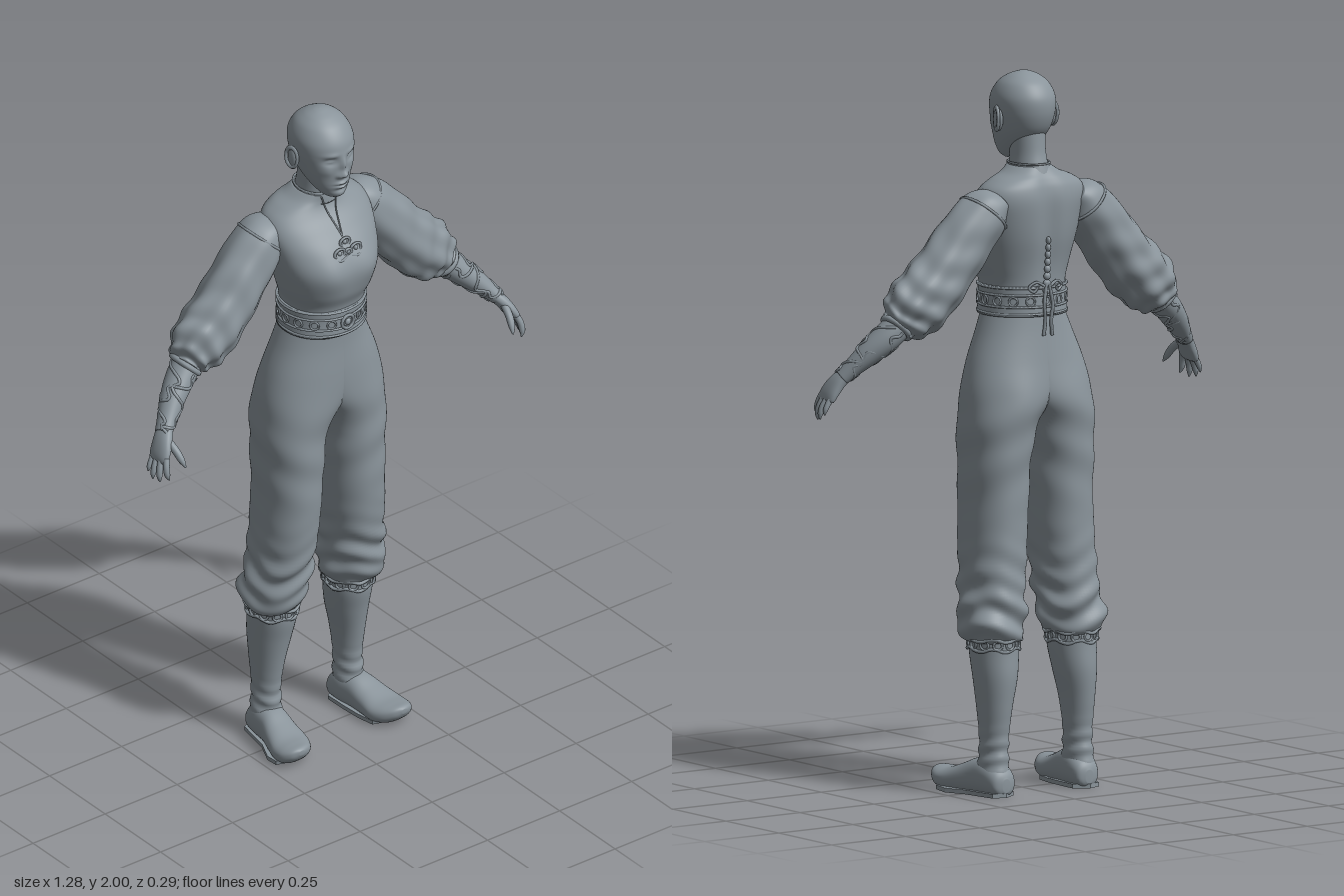
import * as THREE from 'three';

const grey = new THREE.MeshStandardMaterial({ color: 0x8a949b });
grey.name = 'clay grey';
const V = (x, y, z) => new THREE.Vector3(x, y, z);
const TAU = Math.PI * 2;
const UP = V(0, 1, 0), DOWN = V(0, -1, 0), FRONT = V(0, 0, 1);
const gauss = (x, y, cx, cy, sx, sy) => Math.exp(-(((x - cx) / sx) ** 2) - ((y - cy) / sy) ** 2);

// Smooth interpolation through section rows
function sample(rows, t) {
  const n = rows.length - 1, i = Math.min(Math.floor(t * n), n - 1), f = t * n - i;
  const [p, q, r, s] = [rows[Math.max(i - 1, 0)], rows[i], rows[i + 1], rows[Math.min(i + 2, n)]];
  return q.map((_, k) => q[k] + 0.5 * f * (r[k] - p[k] +
    f * (2 * p[k] - 5 * q[k] + 4 * r[k] - s[k] + f * (3 * (q[k] - r[k]) + s[k] - p[k]))));
}

// Skin over sections [x, y, z, halfU, halfV]; axis fixes the ring plane
function loft(rows, { seg = 40, steps = 40, axis, ref = FRONT, pow = 2, bump, after } = {}) {
  const pos = [], idx = [];
  const at = t => V(...sample(rows, t).slice(0, 3));
  for (let i = 0; i <= steps; i++) {
    const t = i / steps, s = sample(rows, t), c = V(s[0], s[1], s[2]);
    const dir = axis ? axis.clone() : at(Math.min(t + 0.01, 1)).sub(at(Math.max(t - 0.01, 0))).normalize();
    const v = ref.clone().addScaledVector(dir, -ref.dot(dir)).normalize();
    const u = v.clone().cross(dir);
    for (let j = 0; j < seg; j++) {
      const a = j / seg * TAU, e = 2 / pow, cs = Math.cos(a), sn = Math.sin(a);
      const p = c.clone()
        .addScaledVector(u, Math.max(s[3], 0.001) * Math.sign(cs) * Math.abs(cs) ** e)
        .addScaledVector(v, Math.max(s[4], 0.001) * Math.sign(sn) * Math.abs(sn) ** e);
      if (bump) bump(p, p.clone().sub(c).normalize(), a, t);
      pos.push(p.x, p.y, p.z);
      if (i < steps) {
        const k = (j + 1) % seg, A = i * seg;
        idx.push(A + j, A + k, A + seg + k, A + j, A + seg + k, A + seg + j);
      }
    }
  }
  const base = pos.length / 3, last = steps * seg;
  pos.push(...at(0).toArray(), ...at(1).toArray());
  for (let j = 0; j < seg; j++) {
    const k = (j + 1) % seg;
    idx.push(base, k, j, base + 1, last + j, last + k);
  }
  const g = new THREE.BufferGeometry();
  g.setAttribute('position', new THREE.Float32BufferAttribute(pos, 3));
  g.setIndex(idx);
  g.computeVertexNormals();
  if (after) after(g.attributes.position);
  return g;
}
// Upright body rows given as [y, halfWidth, zFront, zBack]
const body = rows => rows.map(([y, w, f, b]) => [0, y, (f + b) / 2, w, (f - b) / 2]);
const tube = (pts, r, closed = false, n = 32) =>
  new THREE.TubeGeometry(new THREE.CatmullRomCurve3(pts.map(p => V(...p)), closed), n, r, 6, closed);
const ball = (x, y, z, a, b, c) => new THREE.SphereGeometry(1, 20, 14).scale(a, b, c).translate(x, y, z);
const ringlet = (x, y, z, r, w, sy = 1) => new THREE.TorusGeometry(r, w, 6, 18).scale(1, sy, 1).translate(x, y, z);
const oval = (y, a, f, b) => Array.from({ length: 24 }, (_, i) =>
  [a * Math.cos(i / 24 * TAU), y, (f + b) / 2 + (f - b) / 2 * Math.sin(i / 24 * TAU)]);

export function createModel() {
  const model = new THREE.Group();
  model.name = 'figure';
  const add = (name, g) => {
    const m = new THREE.Mesh(g, grey);
    m.name = name;
    model.add(m);
  };
  const pair = (name, g) => {
    add('left' + name, g);
    const h = g.clone().scale(-1, 1, 1), x = h.index.array;
    for (let i = 0; i < x.length; i += 3) [x[i], x[i + 1]] = [x[i + 1], x[i]];
    add('right' + name, h);
  };

  // Head with modelled face
  const face = [ // [x, y, spread x, spread y, height]
    [0, 1.838, 0.012, 0.011, 0.017], [0, 1.868, 0.009, 0.024, 0.01], [0.013, 1.834, 0.007, 0.007, 0.006],
    [0.034, 1.882, 0.017, 0.011, -0.012], [0.034, 1.881, 0.011, 0.005, 0.007], [0.034, 1.902, 0.02, 0.007, 0.004],
    [0, 1.808, 0.017, 0.005, 0.008], [0, 1.796, 0.015, 0.005, 0.008], [0, 1.802, 0.02, 0.002, -0.004],
    [0, 1.784, 0.02, 0.006, -0.004], [0, 1.768, 0.018, 0.012, 0.004], [0.045, 1.85, 0.016, 0.016, 0.004]];
  add('head', loft(body([[1.752, 0.018, 0.07, 0.025], [1.764, 0.034, 0.086, 0], [1.79, 0.052, 0.094, -0.035],
    [1.82, 0.066, 0.096, -0.068], [1.85, 0.075, 0.098, -0.09], [1.89, 0.083, 0.1, -0.103], [1.93, 0.083, 0.094, -0.102],
    [1.965, 0.068, 0.071, -0.082], [1.986, 0.045, 0.041, -0.053], [1.997, 0.02, 0.012, -0.026], [2, 0.002, -0.005, -0.009]]),
  { seg: 112, steps: 110, axis: UP, pow: 2.1, bump: p => {
    if (p.z < 0.03) return;
    for (const [x, y, sx, sy, h] of face) p.z += h * gauss(Math.abs(p.x), p.y, x, y, sx, sy);
  } }));
  pair('Ear', ball(0.09, 1.87, -0.008, 0.009, 0.032, 0.019).rotateY(0.05));
  pair('EarRim', new THREE.TorusGeometry(0.019, 0.005, 6, 20).scale(1, 1.6, 1).rotateY(Math.PI / 2 - 0.35).translate(0.094, 1.874, -0.011));
  add('neck', loft(body([[1.69, 0.056, 0.03, -0.1], [1.74, 0.05, 0.03, -0.092], [1.78, 0.047, 0.03, -0.083],
    [1.84, 0.048, 0.03, -0.078]]), { axis: UP, steps: 16 }));

  // Fitted bodice
  add('bodice', loft(body([[1.325, 0.115, 0.105, -0.108], [1.37, 0.117, 0.108, -0.109], [1.42, 0.118, 0.114, -0.11],
    [1.47, 0.133, 0.134, -0.116], [1.54, 0.152, 0.143, -0.13], [1.6, 0.163, 0.118, -0.136], [1.65, 0.168, 0.08, -0.137],
    [1.685, 0.155, 0.05, -0.131], [1.708, 0.122, 0.036, -0.121], [1.724, 0.082, 0.033, -0.11], [1.742, 0.054, 0.034, -0.099]]),
  { seg: 80, steps: 60, axis: UP, pow: 2.25, bump: p => {
    if (p.z > 0) p.z += 0.01 * gauss(Math.abs(p.x), p.y, 0.07, 1.54, 0.045, 0.06);
    else p.z += 0.012 * gauss(p.x, p.y, 0, 1.58, 0.03, 0.16);
  } }));
  add('collar', loft(body([[1.715, 0.066, 0.038, -0.108], [1.735, 0.056, 0.037, -0.102], [1.748, 0.053, 0.035, -0.098]]),
    { axis: UP, steps: 8 }));
  add('collarPiping', tube(oval(1.748, 0.053, 0.035, -0.098), 0.003, true, 48));
  pair('NeckOpening', tube([[0.026, 1.742, 0.034], [0.016, 1.7, 0.046], [0.006, 1.66, 0.076], [0, 1.635, 0.096]], 0.0025));

  // Chest brooch: three scrolled petals
  for (const [x, y, r] of [[0, 1.622, 0.016], [0.028, 1.6, 0.017], [-0.028, 1.6, 0.017], [0, 1.598, 0.01]]) {
    const z = 0.114 + (1.61 - y) * 0.6;
    add('broochScroll', ringlet(x, y, z, r, 0.0045, 0.8));
    add('broochBead', ball(x, y, z, 0.007, 0.007, 0.006));
  }
  pair('BroochLeaf', tube([[0.008, 1.585, 0.126], [0.03, 1.58, 0.128], [0.05, 1.59, 0.118], [0.052, 1.603, 0.108]], 0.004));

  // Belt with piping and rosettes
  add('belt', loft(body([[1.328, 0.126, 0.117, -0.118], [1.37, 0.122, 0.115, -0.116], [1.412, 0.122, 0.117, -0.115]]),
    { seg: 64, steps: 10, axis: UP, pow: 2.1 }));
  for (const y of [1.335, 1.355, 1.388, 1.408]) add('beltPiping', tube(oval(y, 0.125, 0.12, -0.119), 0.0035, true, 72));
  for (let i = 0; i < 16; i++) {
    const a = i / 16 * TAU;
    add('beltScroll', new THREE.TorusGeometry(0.012, 0.003, 6, 14).rotateY(a).translate(0.125 * Math.sin(a), 1.371, 0.001 + 0.118 * Math.cos(a)));
  }
  add('buckle', ringlet(0, 1.371, 0.121, 0.02, 0.005));
  add('buckleBead', ball(0, 1.371, 0.121, 0.01, 0.01, 0.007));

  // Back lacing with hanging cords
  for (let i = 0; i < 8; i++)
    add('backKnot', ball(0, 1.4 + i * 0.02, -0.117 - i * 0.0012, 0.013 - i * 0.001, 0.011, 0.008));
  pair('BackScroll', tube([[0.005, 1.41, -0.122], [0.035, 1.425, -0.117], [0.055, 1.41, -0.11], [0.04, 1.398, -0.114], [0.03, 1.412, -0.118]], 0.004));
  pair('BackCord', tube([[0.004, 1.42, -0.122], [0.014, 1.36, -0.127], [0.01, 1.32, -0.125], [0.014, 1.275, -0.123]], 0.005));

  // Trousers: each half meets its twin on the centre plane
  pair('TrouserLeg', loft([[0, 1.34, -0.002, 0.114, 0.105], [0.004, 1.28, -0.006, 0.136, 0.108], [0.02, 1.2, -0.01, 0.153, 0.115],
    [0.048, 1.12, -0.015, 0.145, 0.121], [0.092, 1.04, -0.017, 0.108, 0.119], [0.104, 0.96, -0.016, 0.095, 0.115],
    [0.107, 0.88, -0.015, 0.09, 0.112], [0.109, 0.8, -0.015, 0.087, 0.11], [0.114, 0.7, -0.019, 0.086, 0.108],
    [0.121, 0.6, -0.027, 0.084, 0.103], [0.128, 0.53, -0.036, 0.087, 0.099], [0.136, 0.475, -0.042, 0.09, 0.097],
    [0.135, 0.44, -0.048, 0.079, 0.085], [0.132, 0.425, -0.05, 0.06, 0.068]],
  { seg: 72, steps: 110, axis: DOWN, pow: 2.15, bump: (p, n, a) => {
    const low = gauss(0, p.y, 0, 0.52, 1, 0.12), mid = gauss(0, p.y, 0, 0.95, 1, 0.14);
    const w = low * (0.006 * Math.sin(p.y * 85 + 2.2 * Math.sin(a * 2)) + 0.004 * Math.sin(p.y * 50 - 3 * a))
      + mid * 0.0025 * Math.sin(p.y * 45 + 2 * a);
    p.addScaledVector(n, w);
    if (p.z < 0) p.z -= 0.008 * gauss(p.x, p.y, 0.085, 1.09, 0.06, 0.08);
  }, after: p => { for (let i = 0; i < p.count; i++) p.setX(i, Math.max(p.getX(i), 0)); } }));

  // Boots and patterned cuffs
  pair('BootShaft', loft([[0.131, 0.47, -0.05, 0.066, 0.077], [0.131, 0.4, -0.051, 0.065, 0.077], [0.134, 0.33, -0.06, 0.058, 0.071],
    [0.139, 0.25, -0.064, 0.046, 0.059], [0.141, 0.17, -0.065, 0.039, 0.047], [0.142, 0.11, -0.064, 0.039, 0.047],
    [0.145, 0.06, -0.062, 0.043, 0.054], [0.146, 0.03, -0.062, 0.042, 0.052]],
  { axis: DOWN, steps: 50, bump: (p, n, a) => p.addScaledVector(n, 0.003 * gauss(0, p.y, 0, 0.12, 1, 0.05) * Math.sin(p.y * 150 + 2 * Math.sin(a))) }));
  const cuffRing = (y, r, k) => oval(y, r, r * k, -r * k).map(([x, h, z], i) => [x + 0.132, h + 0.005 * Math.sin(i * 1.6), z - 0.05]);
  for (const [y, r] of [[0.438, 0.074], [0.41, 0.069]]) pair('BootCuffPiping', tube(cuffRing(y, r, 1.12), 0.005, true, 72));
  for (let i = 0; i < 12; i++) {
    const a = i / 12 * TAU;
    pair('BootCuffScroll', new THREE.TorusGeometry(0.012, 0.0035, 6, 14).rotateY(a)
      .translate(0.132 + 0.068 * Math.sin(a), 0.424, -0.05 + 0.079 * Math.cos(a)));
  }
  // Shoe with flat sole and lifted toe
  pair('Shoe', loft([[0.14, 0.032, -0.124, 0.012, 0.018], [0.141, 0.038, -0.112, 0.036, 0.036], [0.144, 0.05, -0.07, 0.046, 0.052],
    [0.15, 0.05, -0.02, 0.047, 0.052], [0.159, 0.04, 0.03, 0.054, 0.042], [0.166, 0.033, 0.075, 0.06, 0.034],
    [0.173, 0.036, 0.11, 0.052, 0.029], [0.177, 0.046, 0.135, 0.032, 0.019], [0.178, 0.052, 0.146, 0.008, 0.007]],
  { axis: FRONT, ref: UP, steps: 44, pow: 2.3, bump: p => { p.y = Math.max(p.y, 0.004); } }));
  const sole = new THREE.Shape([[0.142, -0.126], [0.18, -0.112], [0.19, -0.06], [0.198, -0.01], [0.225, 0.05], [0.226, 0.09],
    [0.192, 0.122], [0.155, 0.115], [0.116, 0.08], [0.106, 0.03], [0.102, -0.03], [0.1, -0.1]].map(([x, z]) => new THREE.Vector2(x, -z)));
  const soleGeo = new THREE.ExtrudeGeometry(sole, { depth: 0.012, bevelEnabled: false }).rotateX(-Math.PI / 2);
  const sp = soleGeo.attributes.position;
  for (let i = 0; i < sp.count; i++) sp.setY(i, sp.getY(i) + Math.max(0, sp.getZ(i) - 0.08) * 0.4);
  soleGeo.setIndex([...Array(sp.count).keys()]);
  pair('Sole', soleGeo);

  // Full sleeves gathered into a cuff
  pair('Sleeve', loft([[0.125, 1.655, -0.055, 0.035, 0.055], [0.165, 1.625, -0.052, 0.07, 0.073], [0.23, 1.553, -0.046, 0.082, 0.078],
    [0.292, 1.477, -0.042, 0.085, 0.081], [0.35, 1.415, -0.04, 0.089, 0.082], [0.398, 1.372, -0.038, 0.086, 0.076],
    [0.43, 1.342, -0.035, 0.066, 0.06], [0.446, 1.327, -0.032, 0.045, 0.045]],
  { seg: 64, steps: 70, bump: (p, n, a, t) => p.addScaledVector(n,
    0.006 * t * Math.sin(a * 7 + 4 * t) * Math.min(1, (1 - t) * 5) + 0.005 * t * Math.sin(t * 38 + 2 * Math.sin(a * 2))) }));
  pair('ArmholeSeam', new THREE.TorusGeometry(0.073, 0.004, 6, 48).rotateX(Math.PI / 2).rotateZ(0.72).translate(0.168, 1.622, -0.052));
  pair('SleeveCuff', new THREE.TorusGeometry(0.043, 0.009, 8, 36).rotateX(Math.PI / 2).rotateZ(0.78).translate(0.447, 1.326, -0.032));

  // Forearm with scrollwork bracer
  const arm = [[0.42, 1.352, -0.036, 0.04, 0.042], [0.47, 1.303, -0.022, 0.039, 0.043], [0.515, 1.26, 0, 0.034, 0.037],
    [0.555, 1.218, 0.025, 0.025, 0.029], [0.578, 1.192, 0.041, 0.021, 0.027]];
  pair('Forearm', loft(arm, { steps: 24 }));
  for (let h = 0; h < 4; h++) {
    const pts = Array.from({ length: 22 }, (_, i) => {
      const t = 0.18 + 0.78 * i / 21, s = sample(arm, t);
      const a = h * TAU / 4 + (h % 2 ? 1 : -1) * 6 * t + 0.5 * Math.sin(t * 26);
      return [s[0] + 0.7 * s[3] * Math.cos(a), s[1] + 0.7 * s[3] * Math.cos(a), s[2] + s[4] * Math.sin(a)];
    });
    pair('BracerScroll', tube(pts, 0.0045, false, 70));
  }

  // Hand
  pair('Palm', loft([[0.57, 1.2, 0.036, 0.018, 0.025], [0.588, 1.178, 0.05, 0.018, 0.031], [0.604, 1.152, 0.061, 0.016, 0.036],
    [0.614, 1.132, 0.066, 0.012, 0.035], [0.617, 1.124, 0.067, 0.005, 0.028]], { steps: 16, seg: 28, pow: 2.3 }));
  const finger = (name, r, pts) => pair(name, loft(pts.map((p, i) => [...p, r * [1.05, 1, 0.85, 0.2][i], r * [1.05, 1, 0.85, 0.2][i]]), { steps: 16, seg: 12 }));
  finger('IndexFinger', 0.0095, [[0.608, 1.142, 0.092], [0.615, 1.12, 0.101], [0.616, 1.098, 0.107], [0.611, 1.083, 0.109]]);
  finger('MiddleFinger', 0.0095, [[0.613, 1.136, 0.076], [0.624, 1.112, 0.083], [0.628, 1.09, 0.087], [0.627, 1.073, 0.088]]);
  finger('RingFinger', 0.009, [[0.613, 1.136, 0.058], [0.627, 1.113, 0.064], [0.634, 1.092, 0.066], [0.635, 1.076, 0.066]]);
  finger('LittleFinger', 0.008, [[0.609, 1.142, 0.042], [0.623, 1.122, 0.044], [0.632, 1.104, 0.045], [0.635, 1.09, 0.045]]);
  finger('Thumb', 0.011, [[0.583, 1.178, 0.066], [0.578, 1.158, 0.096], [0.573, 1.135, 0.115], [0.568, 1.116, 0.128]]);
  return model;
}
